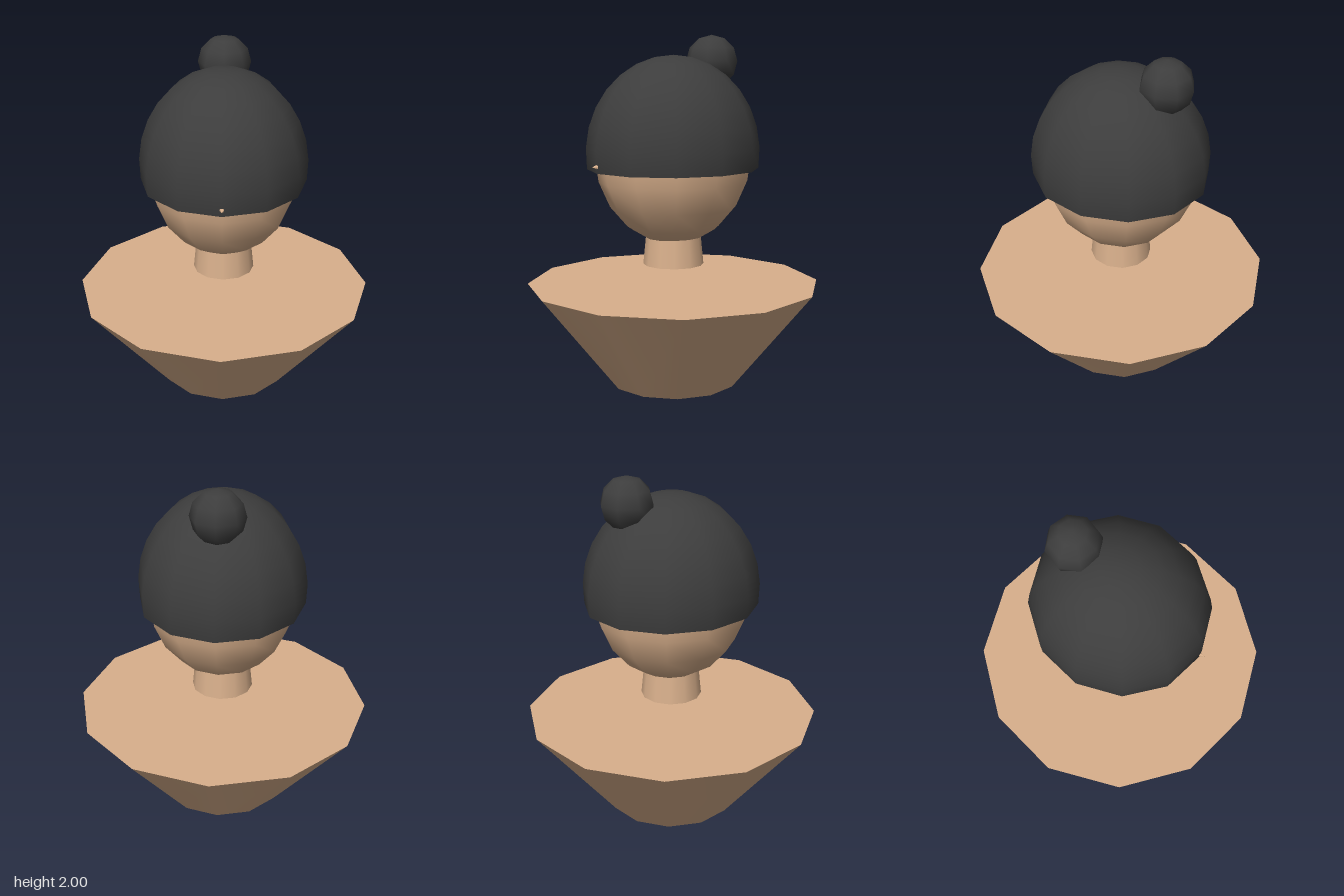
import * as THREE from 'three';

export function createModel() {
  const model = new THREE.Group();
  const skin = new THREE.MeshStandardMaterial({ color: 0xd9b08c });
  skin.name = 'skin';
  const hair = new THREE.MeshStandardMaterial({ color: 0x3d3d3d, side: THREE.DoubleSide });
  hair.name = 'darkHair';

  const add = (name, geometry, material, x, y, z) => {
    const mesh = new THREE.Mesh(geometry, material);
    mesh.name = name;
    mesh.position.set(x, y, z);
    model.add(mesh);
    return mesh;
  };

  // Tapered torso and floating neck
  add('torso', new THREE.CylinderGeometry(0.843, 0.375, 0.58, 12), skin, 0, 0.29, 0);
  add('neck', new THREE.CylinderGeometry(0.153, 0.175, 0.22, 12), skin, 0, 0.80, 0);

  // Egg-shaped head
  add('head', new THREE.SphereGeometry(1, 12, 10), skin, 0, 1.33, 0).scale.set(0.435, 0.52, 0.455);

  // Nose, its tip just showing through the hair
  add('nose', new THREE.ConeGeometry(0.04, 0.1, 8), skin, 0, 1.28, 0.48).rotation.x = Math.PI / 2;

  // Open hair shell, ending just below its widest ring
  const shell = new THREE.SphereGeometry(1, 12, 8, 0, Math.PI * 2, 0, Math.PI * 0.55);
  add('hairCap', shell, hair, 0, 1.33, 0).scale.set(0.475, 0.555, 0.506);

  // Bun at the back of the crown
  add('hairBun', new THREE.SphereGeometry(0.15, 8, 6), hair, 0, 1.85, -0.265);

  return model;
}
